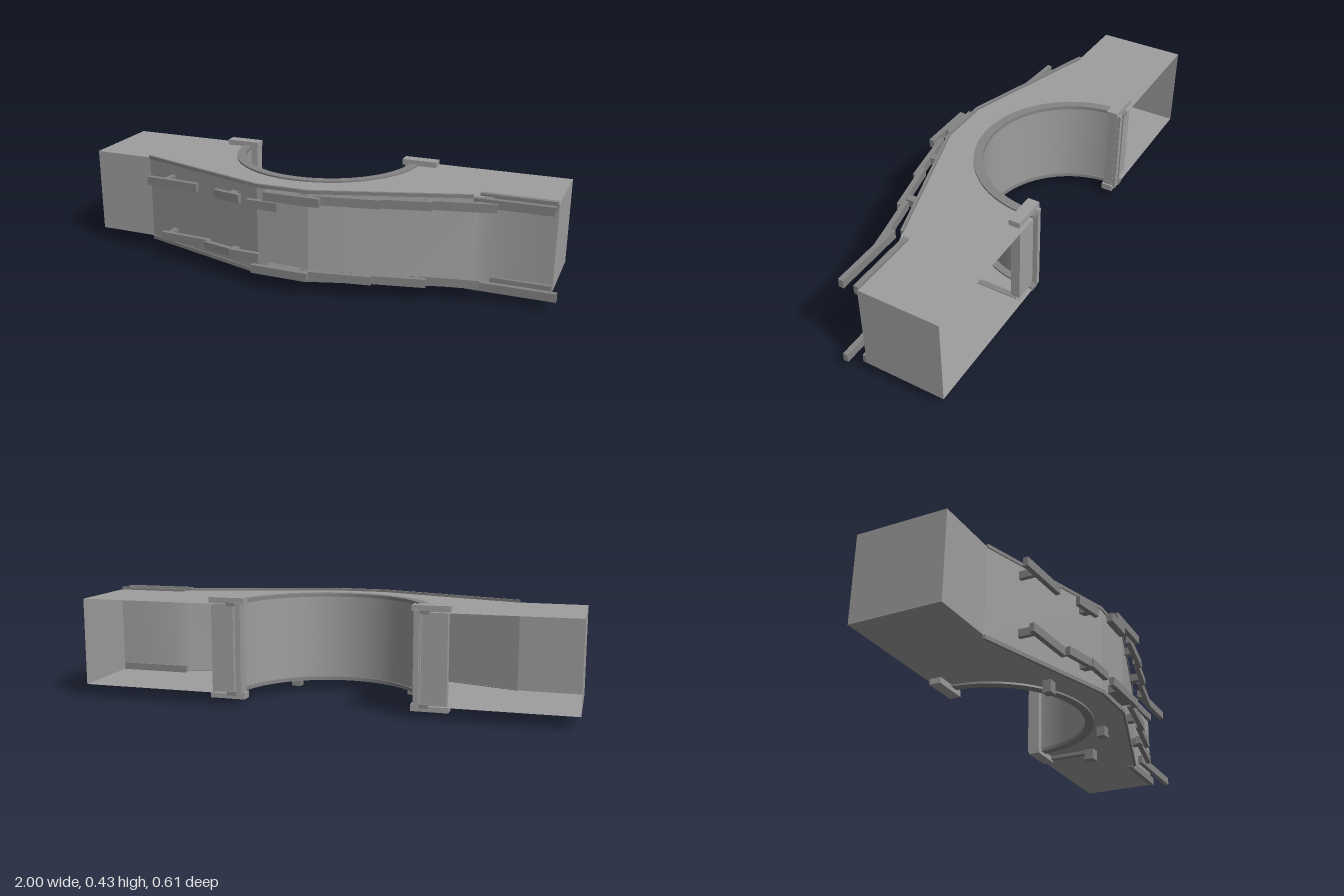
import * as THREE from 'three';
import { toCreasedNormals } from 'three/addons/utils/BufferGeometryUtils.js';

const shellMat = new THREE.MeshStandardMaterial({ color: 0x9e9e9e, side: THREE.DoubleSide });
const postMat = new THREE.MeshStandardMaterial({ color: 0x9e9e9e });
const trimMat = new THREE.MeshStandardMaterial({ color: 0x848484 });
const Y0 = 0.053, Y1 = 0.407;          // floor and roof heights of the shell
const CX = -0.045, CZ = -0.27, BACK = -0.305;

export function createModel() {
  const root = new THREE.Group();

  const add = (name, geometry, material = trimMat) => {
    const mesh = new THREE.Mesh(geometry, material);
    mesh.name = name;
    root.add(mesh);
    return mesh;
  };
  const box = (name, x0, x1, y0, y1, z0, z1, material) => add(name,
    new THREE.BoxGeometry(x1 - x0, y1 - y0, z1 - z0)
      .translate((x0 + x1) / 2, (y0 + y1) / 2, (z0 + z1) / 2), material);
  // Bar in plan from (xa, za) to (xb, zb)
  const bar = (name, xa, za, xb, zb, y0, y1, t = 0.02) => {
    const mesh = add(name, new THREE.BoxGeometry(Math.hypot(xb - xa, zb - za), y1 - y0, t));
    mesh.position.set((xa + xb) / 2, (y0 + y1) / 2, (za + zb) / 2);
    mesh.rotation.y = -Math.atan2(zb - za, xb - xa);
  };
  // Plan points are [x, z]; the shape is laid flat with thickness up +y
  const planShape = pts => new THREE.Shape(pts.map(([x, z]) => new THREE.Vector2(x, -z)));
  const slab = (name, pts, y0, y1) => add(name,
    toCreasedNormals(new THREE.ExtrudeGeometry(planShape(pts), { depth: y1 - y0, bevelEnabled: false })
      .rotateX(-Math.PI / 2).translate(0, y0, 0), 0.5));
  // Upright sheet following plan points
  const wall = (name, pts) => {
    const pos = [];
    for (let i = 0; i < pts.length - 1; i++) {
      const [a, b] = [pts[i], pts[i + 1]];
      const q = [[a, Y0], [b, Y0], [b, Y1], [a, Y0], [b, Y1], [a, Y1]];
      for (const [p, y] of q) pos.push(p[0], y, p[1]);
    }
    const g = new THREE.BufferGeometry();
    g.setAttribute('position', new THREE.Float32BufferAttribute(pos, 3));
    g.computeVertexNormals();
    add(name, toCreasedNormals(g, 0.25), shellMat);
  };
  // Recess curve from +x to -x, continued straight to the open back
  const arch = r => {
    const pts = [[CX + r, BACK]];
    for (let i = 0; i <= 40; i++) {
      const a = Math.PI * i / 40;
      pts.push([CX + r * Math.cos(a), CZ + r * Math.sin(a)]);
    }
    return [...pts, [CX - r, BACK]];
  };

  // Hollow shell, open at the back
  const front = [[-1, 0.06], [-0.74, 0.065], [-0.15, 0.248], [0.065, 0.248], [0.66, 0.062]];
  const flare = new THREE.QuadraticBezierCurve(
    new THREE.Vector2(0.66, 0.062), new THREE.Vector2(0.72, 0.022), new THREE.Vector2(0.973, 0.02))
    .getPoints(12).map(p => [p.x, p.y]);
  const outer = [[-1, BACK], ...front, ...flare.slice(1), [0.973, BACK]];
  wall('frontAndEndWalls', outer);
  wall('recessWall', arch(0.37));
  for (const [name, y] of [['roof', Y1], ['floor', Y0]])
    add(name, new THREE.ShapeGeometry(planShape([...outer, ...arch(0.37)]))
      .rotateX(-Math.PI / 2).translate(0, y, 0), shellMat);

  // Thin lips along the front edge and around the recess
  const lip = front.slice(1);
  const lipPlan = [...lip.map(([x, z]) => [x, z + 0.005]), ...lip.map(([x, z]) => [x, z - 0.006]).reverse()];
  const rimPlan = [...arch(0.364), ...arch(0.4).reverse()];
  slab('topFrontLip', lipPlan, 0.403, 0.417);
  slab('bottomFrontLip', lipPlan, 0.04, 0.056);
  slab('topRecessRim', rimPlan, 0.4, 0.414);
  slab('bottomRecessRim', rimPlan, 0.045, 0.06);

  // Posts at the two ends of the recess
  for (const s of [-1, 1]) {
    const x = CX + s * 0.404, inner = x - s * 0.052;
    box('postBody', x - 0.064, x + 0.064, 0.045, 0.415, -0.287, -0.25, postMat);
    box('postStrip', inner - 0.01, inner + 0.01, 0.045, 0.415, -0.302, -0.28, postMat);
    box('postCap', x - 0.072, x + 0.072, 0.408, 0.431, -0.29, -0.243, postMat);
    box('postFoot', x - 0.072, x + 0.072, 0.029, 0.055, -0.29, -0.243, postMat);
  }

  // Upper rail, broken into short lengths
  const upper = [
    [-0.675, 0.185, -0.44, 0.2, 0.333], [-0.34, 0.235, -0.22, 0.26, 0.333],
    [-0.17, 0.295, -0.04, 0.295, 0.333], [-0.1, 0.291, 0.13, 0.291, 0.37],
    [0.1, 0.262, 0.35, 0.217, 0.37], [0.3, 0.215, 0.53, 0.165, 0.37],
    [0.5, 0.155, 0.76, 0.1, 0.37], [0.67, 0.091, 0.97, 0.091, 0.383],
    [0.68, 0.027, 0.97, 0.027, 0.383]];
  for (const [xa, za, xb, zb, y] of upper) bar('upperRail', xa, za, xb, zb, y, y + 0.035);

  // Lower rail
  const lower = [
    [-0.62, 0.185, -0.39, 0.2, 0.098], [-0.4, 0.22, -0.27, 0.25, 0.098],
    [-0.27, 0.255, -0.14, 0.26, 0.098], [-0.16, 0.291, 0.08, 0.295, 0.062],
    [0.06, 0.275, 0.32, 0.23, 0.062], [0.28, 0.225, 0.52, 0.175, 0.062],
    [0.45, 0.16, 0.71, 0.11, 0.062], [0.65, 0.091, 1, 0.091, 0.048],
    [0.68, 0.027, 0.97, 0.027, 0.048]];
  for (const [xa, za, xb, zb, y] of lower) bar('lowerRail', xa, za, xb, zb, y, y + 0.034);

  // Brackets holding the rails to the front wall
  for (const y of [0.335, 0.098]) {
    box('railBracket', -0.603, -0.585, y, y + 0.03, 0.122, 0.185);
    box('railBracket', -0.275, -0.245, y, y + 0.03, 0.19, 0.25);
  }
  for (const y of [0.37, 0.062]) {
    box('railBracket', -0.1, 0.04, y, y + 0.033, 0.25, 0.285);
    box('railBracket', 0.2, 0.23, y, y + 0.033, 0.205, 0.235);
    box('railBracket', 0.46, 0.49, y, y + 0.033, 0.125, 0.17);
  }

  // Feet under the floor and the bar leading back from one of them
  box('foot', -0.33, -0.29, 0.003, 0.056, 0.082, 0.117);
  box('foot', 0.175, 0.215, 0.01, 0.056, 0.082, 0.117);
  box('foot', 0.4, 0.44, 0.007, 0.056, -0.075, -0.033);
  box('floorBar', 0.408, 0.432, 0.038, 0.056, -0.275, -0.07);

  return root;
}
